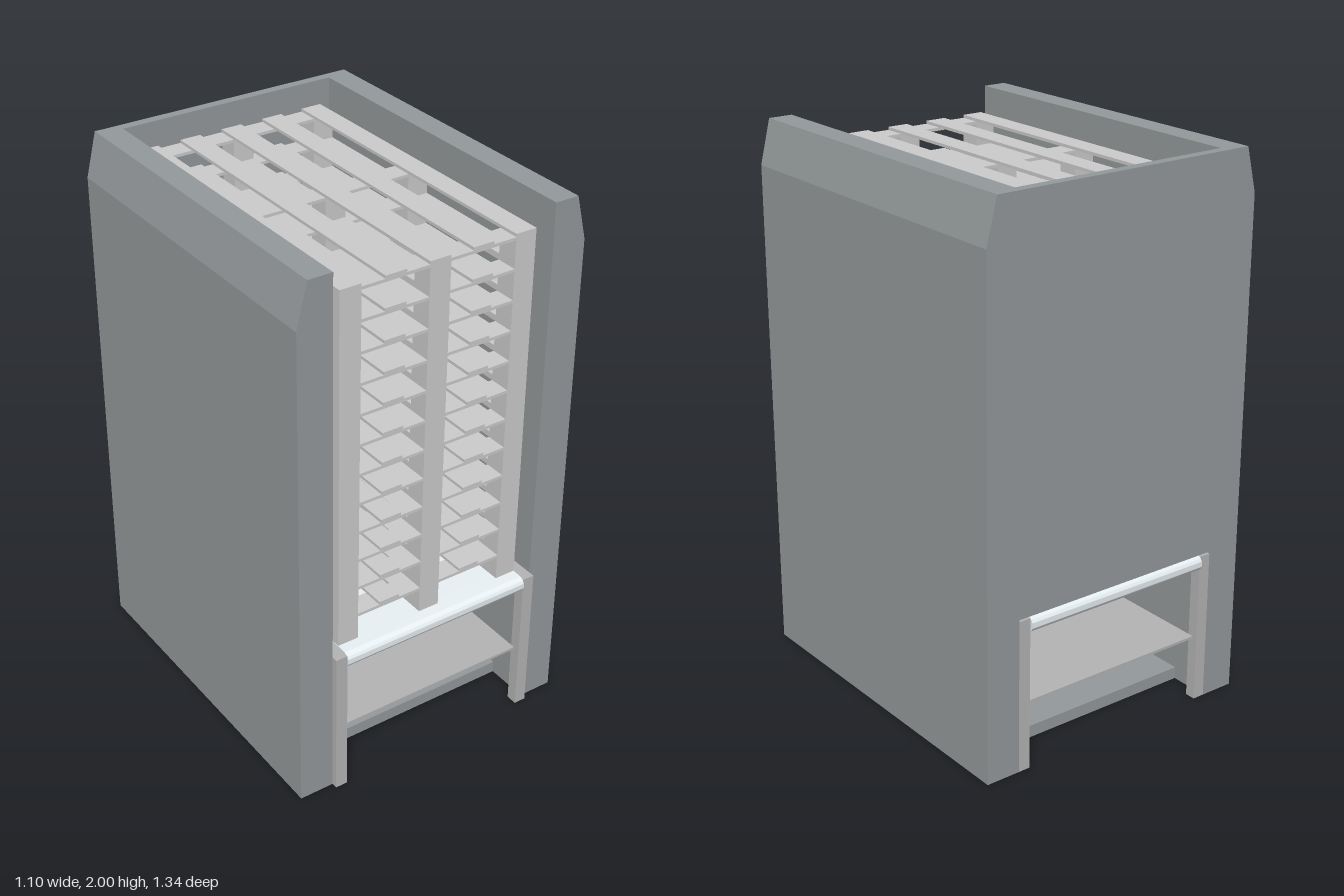
import * as THREE from 'three';
import { toCreasedNormals } from 'three/addons/utils/BufferGeometryUtils.js';

const mat = (color) => new THREE.MeshStandardMaterial({ color });

export function createModel() {
  const model = new THREE.Group();
  const shellMat = mat(0x94999b), frameMat = mat(0xb4b4b4), palletMat = mat(0xcccccc), beltMat = mat(0xe6eef2);

  // Box given by its limits on each axis
  const box = (name, [x0, x1], [y0, y1], [z0, z1], material, parent) => {
    const mesh = new THREE.Mesh(new THREE.BoxGeometry(x1 - x0, y1 - y0, z1 - z0), material);
    mesh.position.set((x0 + x1) / 2, (y0 + y1) / 2, (z0 + z1) / 2);
    mesh.name = name;
    parent.add(mesh);
    return mesh;
  };

  // Housing: two chamfered side walls, back wall above the outlet, floor
  const housing = new THREE.Group();
  housing.name = 'housing';
  model.add(housing);
  for (const s of [-1, 1]) {
    const section = new THREE.Shape(
      [[0.42, 0], [0.55, 0], [0.55, 1.84], [0.51, 2], [0.42, 2]].map(([x, y]) => new THREE.Vector2(s * x, y)));
    const wall = new THREE.Mesh(
      new THREE.ExtrudeGeometry(section, { depth: 1.305, bevelEnabled: false }), shellMat);
    wall.position.z = -0.66;
    wall.name = s > 0 ? 'leftWall' : 'rightWall';
    housing.add(wall);
  }
  box('backWall', [-0.42, 0.42], [0.572, 2], [-0.66, -0.625], shellMat, housing);
  box('floor', [-0.42, 0.42], [0, 0.045], [-0.51, 0.48], shellMat, housing);

  // Conveyor: rounded-end belt, side rails, posts and lower shelf
  const conveyor = new THREE.Group();
  conveyor.name = 'conveyor';
  model.add(conveyor);
  const r = 0.03, end = 0.642;
  const loop = new THREE.Shape();
  loop.absarc(end, 0, r, -Math.PI / 2, Math.PI / 2, false);
  loop.absarc(-end, 0, r, Math.PI / 2, Math.PI * 1.5, false);
  const beltGeo = new THREE.ExtrudeGeometry(loop, { depth: 0.75, bevelEnabled: false, curveSegments: 16 });
  beltGeo.translate(0, 0, -0.375).rotateY(-Math.PI / 2);
  const belt = new THREE.Mesh(toCreasedNormals(beltGeo, 0.6), beltMat);
  belt.position.y = 0.54;
  belt.name = 'belt';
  conveyor.add(belt);
  for (const s of [-1, 1]) {
    const xs = s > 0 ? [0.375, 0.42] : [-0.42, -0.375];
    box('sideRail', xs, [0.51, 0.565], [-0.62, 0.625], frameMat, conveyor);
    box('frontPost', xs, [0, 0.565], [0.625, 0.667], frameMat, conveyor);
    box('backPost', xs, [0, 0.565], [-0.66, -0.62], frameMat, conveyor);
  }
  box('shelf', [-0.375, 0.375], [0.235, 0.245], [-0.64, 0.64], frameMat, conveyor);

  // Stack of pallets: skids, blocks, cross boards and deck boards
  const count = 12, base = 0.571, pitch = (1.912 - base) / count, t = 0.011, half = 0.04;
  const columns = [-0.335, 0, 0.335], rows = [-0.575, -0.002, 0.571];
  const around = (c) => [c - half, c + half];
  const length = [-0.615, 0.611];
  for (let i = 0; i < count; i++) {
    const pallet = new THREE.Group();
    pallet.name = 'pallet';
    pallet.position.y = base + i * pitch;
    model.add(pallet);
    for (const x of columns) {
      box('skid', around(x), [0, t], length, palletMat, pallet);
      for (const z of rows) box('block', around(x), [t, pitch - 2 * t], around(z), palletMat, pallet);
    }
    for (const z of rows)
      box('crossBoard', [-0.375, 0.375], [pitch - 2 * t, pitch - t], around(z), palletMat, pallet);
    for (let k = -2; k <= 2; k++)
      box('deckBoard', around(k * 0.1675), [pitch - t, pitch], length, palletMat, pallet);
  }
  return model;
}
